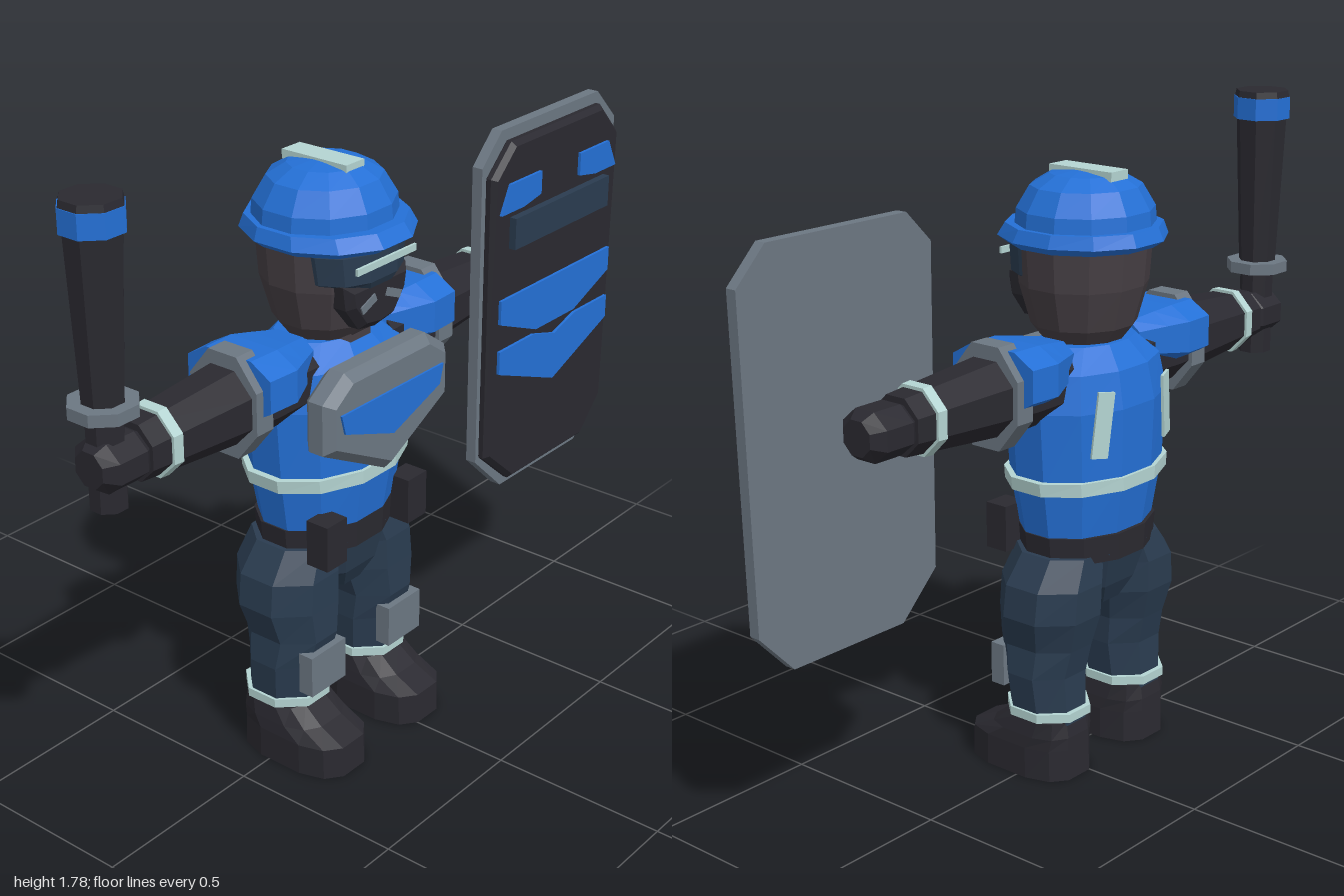
import * as THREE from 'three';

const mat = (name, color) => {
  const m = new THREE.MeshStandardMaterial({ color });
  m.name = name;
  return m;
};

export function createModel() {
  const blue = mat('blue', 0x2470d6), black = mat('black', 0x2a2930), navy = mat('navy', 0x2a3c50);
  const gray = mat('gray', 0x6c7782), pale = mat('pale', 0xb4d4d2), skin = mat('hood', 0x463f44);

  const root = new THREE.Group();
  root.name = 'guard';
  const body = new THREE.Group();
  body.name = 'body';
  body.position.x = -0.12;
  root.add(body);

  // Adds a faceted mesh
  function part(name, geo, material, x = 0, y = 0, z = 0, parent = body) {
    const g = geo.index ? geo.toNonIndexed() : geo;
    g.computeVertexNormals();
    const m = new THREE.Mesh(g, material);
    m.name = name;
    m.position.set(x, y, z);
    parent.add(m);
    return m;
  }

  // Closed loft through rings [y, rx, rz, cx, cz]; e < 1 squares the section
  function loft(rings, n = 8, e = 1) {
    const pos = [], k = e === 1 ? 1 / Math.cos(Math.PI / n) : 1;
    const pw = v => Math.sign(v) * Math.abs(v) ** e;
    const pt = ([y, rx, rz, cx = 0, cz = 0], j) => {
      const a = ((j + 0.5) / n) * Math.PI * 2;
      return [cx + rx * k * pw(Math.cos(a)), y, cz + rz * k * pw(Math.sin(a))];
    };
    const mid = ([y, , , cx = 0, cz = 0]) => [cx, y, cz];
    const last = rings[rings.length - 1];
    for (let j = 0; j < n; j++) {
      for (let i = 0; i + 1 < rings.length; i++) {
        const a = pt(rings[i], j), b = pt(rings[i], j + 1);
        const c = pt(rings[i + 1], j), d = pt(rings[i + 1], j + 1);
        pos.push(...a, ...c, ...b, ...b, ...c, ...d);
      }
      pos.push(...mid(rings[0]), ...pt(rings[0], j), ...pt(rings[0], j + 1));
      pos.push(...mid(last), ...pt(last, j + 1), ...pt(last, j));
    }
    const g = new THREE.BufferGeometry();
    g.setAttribute('position', new THREE.Float32BufferAttribute(pos, 3));
    return g;
  }

  // Flat outline extruded from z0 to z1 with an optional inward bevel at the front
  function plate(pts, z0, z1, bevel = 0) {
    const shape = new THREE.Shape(pts.map(p => new THREE.Vector2(...p)));
    const g = new THREE.ExtrudeGeometry(shape, {
      depth: z1 - z0 - 2 * bevel, bevelEnabled: bevel > 0, bevelSegments: 1,
      bevelThickness: bevel, bevelSize: bevel, bevelOffset: -bevel,
    });
    return g.translate(0, 0, z0 + bevel);
  }
  const box = (w, h, d) => new THREE.BoxGeometry(w, h, d);
  const mirror = (pts, cx = 0) => pts.concat(
    pts.filter(p => p[0] !== cx).reverse().map(([x, y]) => [2 * cx - x, y]));

  // Torso, reflective band and belt
  part('torso', loft([[0.68, 0.205, 0.15, 0, -0.02], [0.85, 0.235, 0.175, 0, -0.02],
    [1.05, 0.25, 0.18, 0, -0.02], [1.15, 0.23, 0.16, 0, -0.02], [1.21, 0.15, 0.11, 0, -0.02]], 12), blue);
  part('waistBand', loft([[0.825, 0.25, 0.185, 0, -0.02], [0.862, 0.255, 0.185, 0, -0.02]], 12), pale);
  part('belt', loft([[0.62, 0.205, 0.155, 0, -0.025], [0.695, 0.212, 0.158, 0, -0.025]], 12), black);
  part('neck', loft([[1.15, 0.1, 0.1], [1.24, 0.1, 0.1]]), skin);

  // Chest plate with chevron
  part('chestPlate', plate(mirror([[0, 0.85], [0.25, 0.98], [0.25, 1.12], [0.165, 1.18]]), 0.11, 0.205, 0.025), gray);
  part('chestChevron', plate(mirror([[0, 0.96], [0.195, 1.03], [0.21, 1.085]]), 0.204, 0.211), blue);

  // Pelvis
  part('pelvis', loft([[0.47, 0.08, 0.09, 0, -0.02], [0.53, 0.15, 0.12, 0, -0.02],
    [0.64, 0.2, 0.145, 0, -0.025]], 8), navy);

  for (const s of [-1, 1]) {
    // Back strap patch and belt pouch
    const strap = part('backStrap', box(0.05, 0.18, 0.008), pale, s * 0.135, 1.02, -0.186);
    strap.rotation.set(0, -s * 0.35, s * 0.12);
    part('pouch', box(0.08, 0.13, 0.07), black, s * 0.17, 0.685, 0.125);

    // Leg, knee pad, cuff band and boot
    part('leg', loft([[0.16, 0.095, 0.1, s * 0.165, -0.025], [0.3, 0.11, 0.105, s * 0.165, -0.015],
      [0.38, 0.105, 0.125, s * 0.16, -0.012], [0.47, 0.13, 0.135, s * 0.16, -0.025],
      [0.56, 0.125, 0.135, s * 0.155, -0.027], [0.64, 0.1, 0.12, s * 0.12, -0.027]], 8), navy);
    part('kneePad', box(0.14, 0.12, 0.045), gray, s * 0.165, 0.292, 0.102);
    part('cuffBand', loft([[0.175, 0.107, 0.113, s * 0.165, -0.025], [0.2, 0.107, 0.113, s * 0.165, -0.025]]), pale);
    part('boot', loft([[0, 0.112, 0.178, s * 0.165, 0.038], [0.09, 0.112, 0.175, s * 0.165, 0.038],
      [0.125, 0.108, 0.135, s * 0.165, 0], [0.17, 0.1, 0.1, s * 0.165, -0.025]], 12, 0.7), black);

    // Arm pieces lie along x, outward from the body centre
    const armPart = (name, rings, m, n = 8) =>
      part(name, loft(rings, n).rotateZ(-s * Math.PI / 2), m, 0, 1.125, -0.012);
    armPart('arm', [[0.15, 0.1, 0.1], [0.3, 0.105, 0.1], [0.4, 0.1, 0.095], [0.725, 0.075, 0.075]], black);
    armPart('elbowRing', [[0.34, 0.138, 0.11], [0.4, 0.138, 0.11]], gray);
    armPart('wristBand', [[0.635, 0.09, 0.088], [0.665, 0.088, 0.086]], pale);
    armPart('hand', [[0.71, 0.05, 0.055], [0.74, 0.065, 0.075], [0.83, 0.065, 0.075], [0.86, 0.045, 0.045]], black);

    // Shoulder pad
    const pad = loft([[0.14, 0.06, 0.08], [0.22, 0.075, 0.12], [0.28, 0.085, 0.15], [0.375, 0.085, 0.145]], 8, 0.7);
    part('shoulderPad', pad.rotateZ(-s * Math.PI / 2), blue, 0, 1.17, -0.015);
  }

  // Head, mask and visor
  part('head', loft([[1.19, 0.1, 0.09, 0, -0.01], [1.25, 0.145, 0.135, 0, -0.01],
    [1.36, 0.175, 0.165, 0, -0.01], [1.5, 0.185, 0.175, 0, -0.01]], 12), skin);
  part('mask', plate(mirror([[0, 1.245], [0.065, 1.255], [0.115, 1.32], [0.125, 1.385]]), 0.07, 0.165, 0.02), black);
  for (const s of [-1, 1]) {
    const vent = part('maskVent', box(0.06, 0.022, 0.008), gray, s * 0.05, 1.325, 0.165);
    vent.rotation.z = -s * 0.4;
  }
  part('visor', loft([[1.365, 0.125, 0.13, 0, 0.04], [1.385, 0.155, 0.14, 0, 0.04],
    [1.46, 0.165, 0.145, 0, 0.035]], 12, 0.8), navy);
  part('visorStripe', box(0.235, 0.018, 0.008), pale, 0, 1.433, 0.183);

  // Helmet
  part('helmetBrim', loft([[1.465, 0.19, 0.195, 0, -0.005], [1.485, 0.215, 0.225, 0, -0.005],
    [1.52, 0.203, 0.205, 0, -0.01]], 12), blue);
  part('helmetDome', loft([[1.5, 0.19, 0.18, 0, -0.015], [1.56, 0.184, 0.175, 0, -0.015],
    [1.62, 0.148, 0.142, 0, -0.015], [1.65, 0.095, 0.095, 0, -0.015], [1.66, 0.03, 0.03, 0, -0.015]], 12), blue);
  part('helmetStripe', box(0.07, 0.025, 0.21), pale, 0, 1.653, -0.022);

  // Baton
  const baton = new THREE.Group();
  baton.name = 'baton';
  baton.position.set(-0.917, 0, -0.018);
  root.add(baton);
  const batonPart = (name, rings, m) => part(name, loft(rings.map(([y, r]) => [y, r, r])), m, 0, 0, 0, baton);
  batonPart('batonGrip', [[1.005, 0.045], [1.26, 0.045]], black);
  batonPart('batonGuard', [[1.25, 0.083], [1.282, 0.083]], gray);
  batonPart('batonShaft', [[1.28, 0.05], [1.71, 0.068]], black);
  batonPart('batonBand', [[1.7, 0.076], [1.762, 0.076]], blue);
  batonPart('batonCap', [[1.76, 0.074], [1.78, 0.07]], black);

  // Shield
  const shield = new THREE.Group();
  shield.name = 'shield';
  root.add(shield);
  const shieldPart = (name, geo, m) => part(name, geo, m, 0, 0, 0, shield);
  shieldPart('shieldRim', plate([[0.485, 0.535], [0.87, 0.535], [0.98, 0.65], [1, 1.52], [0.905, 1.615],
    [0.44, 1.615], [0.355, 1.53], [0.36, 0.655]], 0.098, 0.13), gray);
  shieldPart('shieldFace', plate([[0.495, 0.56], [0.86, 0.56], [0.96, 0.665], [0.98, 1.49], [0.89, 1.585],
    [0.46, 1.585], [0.37, 1.5], [0.37, 0.67]], 0.12, 0.162, 0.014), black);
  shieldPart('shieldWindow', box(0.46, 0.09, 0.03).translate(0.675, 1.332, 0.168), navy);
  const corner = [[0.395, 1.395], [0.5, 1.395], [0.58, 1.41], [0.58, 1.475], [0.435, 1.475]];
  shieldPart('shieldCornerMark', plate(corner, 0.162, 0.171), blue);
  shieldPart('shieldCornerMark', plate(corner.map(([x, y]) => [1.35 - x, y]).reverse(), 0.162, 0.171), blue);
  shieldPart('shieldUpperChevron', plate(mirror([[0.77, 1.005], [0.945, 1.075], [0.945, 1.145]], 0.675), 0.162, 0.171), blue);
  shieldPart('shieldLowerChevron', plate(mirror([[0.675, 0.82], [0.945, 0.925], [0.945, 0.993],
    [0.78, 0.993], [0.675, 0.962]], 0.675), 0.162, 0.171), blue);

  return root;
}
